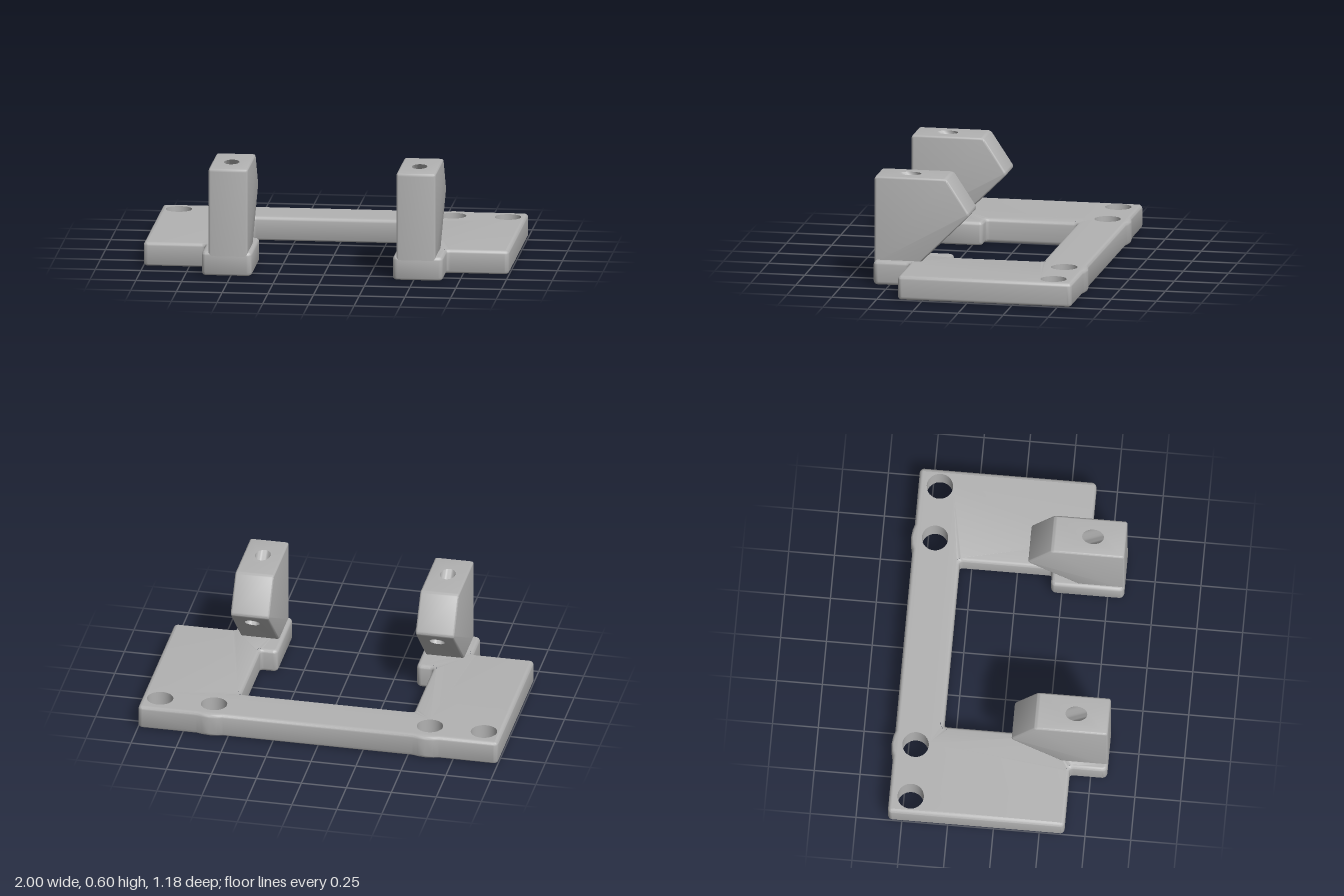
import * as THREE from 'three';
import { mergeGeometries, toCreasedNormals } from 'three/addons/utils/BufferGeometryUtils.js';

const V = (x, y, z) => new THREE.Vector3(x, y, z);

// Closed shape from [x, y, cornerRadius] points
function roundedShape(pts) {
  const shape = new THREE.Shape();
  pts.forEach(([x, y, r], i) => {
    const p = new THREE.Vector2(x, y);
    const toward = (q) => new THREE.Vector2(q[0], q[1]).sub(p).setLength(r).add(p);
    const a = r ? toward(pts[(i + pts.length - 1) % pts.length]) : p;
    if (i === 0) shape.moveTo(a.x, a.y); else shape.lineTo(a.x, a.y);
    if (r) {
      const b = toward(pts[(i + 1) % pts.length]);
      shape.quadraticCurveTo(x, y, b.x, b.y);
    }
  });
  shape.closePath();
  return shape;
}

// Position-only, non-indexed copy, ready for merging
function bare(geo) {
  const g = geo.index ? geo.toNonIndexed() : geo.clone();
  g.deleteAttribute('uv');
  g.deleteAttribute('normal');
  g.clearGroups();
  return g;
}

// Split triangles into those facing n and all the others
function splitFacing(geo, n) {
  const pos = geo.attributes.position, kept = [], cut = [];
  for (let i = 0; i < pos.count; i += 3) {
    const c = [0, 1, 2].map((k) => new THREE.Vector3().fromBufferAttribute(pos, i + k));
    const normal = new THREE.Triangle(...c).getNormal(V(0, 0, 0));
    (normal.dot(n) > 0.999 ? cut : kept).push(...c);
  }
  return { rest: new THREE.BufferGeometry().setFromPoints(kept), cut };
}

// Replace the flat rectangular face facing n by one with an elliptical hole
function punch(geo, n, centre, ru, rv) {
  const u = V(1, 0, 0);
  const m = new THREE.Matrix4().makeBasis(u, n.clone().cross(u), n).setPosition(centre);
  const inv = m.clone().invert();
  const { rest, cut } = splitFacing(geo, n);
  const { min, max } = new THREE.Box3().setFromPoints(cut.map((p) => p.applyMatrix4(inv)));
  const face = new THREE.Shape([[min.x, min.y], [max.x, min.y], [max.x, max.y], [min.x, max.y]]
    .map(([x, y]) => new THREE.Vector2(x, y)));
  face.holes.push(new THREE.Path().absellipse(0, 0, ru, rv, 0, Math.PI * 2));
  const plate = new THREE.ShapeGeometry(face, 16).translate(0, 0, max.z).applyMatrix4(m);
  return mergeGeometries([rest, bare(plate)]);
}

// U-shaped plate with rounded edges and four mounting holes
function baseGeometry() {
  const bevel = 0.02, height = 0.133;
  const half = [ // x, z, corner radius; inset by the bevel
    [0.53, -0.557, 0], [0.56, -0.566, 0], [0.6, -0.571, 0], [0.64, -0.566, 0], [0.67, -0.557, 0],
    [0.98, -0.557, 0.006], [0.98, 0.367, 0.006], [0.64, 0.367, 0.04], [0.64, 0.57, 0.01],
    [0.405, 0.57, 0.01], [0.405, 0.21, 0.01], [0.5, 0.21, 0.04], [0.5, -0.335, 0.04],
  ];
  const outline = [...half, ...half.map(([x, z, r]) => [-x, z, r]).reverse()]
    .map(([x, z, r]) => [x, -z, r]);
  const shape = roundedShape(outline);
  const solid = new THREE.ExtrudeGeometry(shape, {
    depth: height - 2 * bevel, bevelEnabled: true, bevelThickness: bevel,
    bevelSize: bevel, bevelSegments: 4, curveSegments: 5,
  }).rotateX(-Math.PI / 2).translate(0, bevel, 0);
  const rim = splitFacing(splitFacing(bare(solid), V(0, 1, 0)).rest, V(0, -1, 0)).rest;
  const parts = [rim];

  const radius = 0.072, holeZ = -0.46;
  const drilled = roundedShape(outline);
  for (const x of [-0.9, -0.6, 0.6, 0.9]) {
    drilled.holes.push(new THREE.Path().absarc(x, -holeZ, radius, 0, Math.PI * 2));
    parts.push(bare(new THREE.CylinderGeometry(radius, radius, height, 32, 1, true)
      .scale(-1, 1, 1).translate(x, height / 2, holeZ)));
  }
  const lid = new THREE.ShapeGeometry(drilled, 16);
  parts.push(bare(lid.clone().rotateX(-Math.PI / 2).translate(0, height, 0)));
  parts.push(bare(lid.clone().scale(1, -1, 1).rotateX(Math.PI / 2)));
  // the mirrored underside needs its corners reversed to face down
  const under = parts[parts.length - 1].attributes.position;
  for (let i = 0; i < under.count; i += 3) {
    const a = V(0, 0, 0).fromBufferAttribute(under, i);
    const b = V(0, 0, 0).fromBufferAttribute(under, i + 1);
    if (new THREE.Triangle(a, b, V(0, 0, 0).fromBufferAttribute(under, i + 2)).getNormal(V(0, 0, 0)).y > 0) {
      under.setXYZ(i, b.x, b.y, b.z);
      under.setXYZ(i + 1, a.x, a.y, a.z);
    }
  }
  return toCreasedNormals(mergeGeometries(parts), 0.6);
}

// Beaked post with a slanted bore from its top to its lower slope
function postGeometry() {
  const bevel = 0.012, width = 0.215, r = 0.042, k = Math.SQRT1_2;
  const profile = roundedShape([ // z, y, corner radius
    [0.59, 0.11, 0], [0.59, 0.597, 0.018], [0.19, 0.597, 0.018], [0.06, 0.4, 0.018], [0.35, 0.11, 0],
  ]);
  const solid = new THREE.ExtrudeGeometry(profile, {
    depth: width - 2 * bevel, bevelEnabled: true, bevelThickness: bevel,
    bevelSize: bevel, bevelOffset: -bevel, bevelSegments: 3, curveSegments: 4,
  }).translate(0, 0, bevel - width / 2).rotateY(-Math.PI / 2);

  const top = V(0, 0.597, 0.41), low = V(0, 0.3235, 0.1365);
  let geo = punch(bare(solid), V(0, 1, 0), top, r, r / k);
  geo = punch(geo, V(0, -k, -k), low, r, r);

  // bore wall: a tube whose ends lie in the two faces
  const bore = new THREE.CylinderGeometry(r, r, 1, 32, 1, true);
  const pos = bore.attributes.position;
  for (let i = 0; i < pos.count; i++) {
    const x = -pos.getX(i), s = pos.getZ(i);
    if (pos.getY(i) > 0) pos.setXYZ(i, x, top.y, top.z + s / k);
    else pos.setXYZ(i, x, low.y - s * k, low.z + s * k);
  }
  return toCreasedNormals(mergeGeometries([geo, bare(bore)]), 0.6);
}

export function createModel() {
  const group = new THREE.Group();
  group.name = 'mountingBracket';
  const grey = new THREE.MeshStandardMaterial({ color: 0xb2b2b2 });
  grey.name = 'grey';

  const base = new THREE.Mesh(baseGeometry(), grey);
  base.name = 'basePlate';
  group.add(base);

  const post = postGeometry();
  for (const side of [1, -1]) {
    const mesh = new THREE.Mesh(post, grey);
    mesh.name = side > 0 ? 'leftPost' : 'rightPost';
    mesh.position.x = side * 0.514;
    group.add(mesh);
  }
  return group;
}
